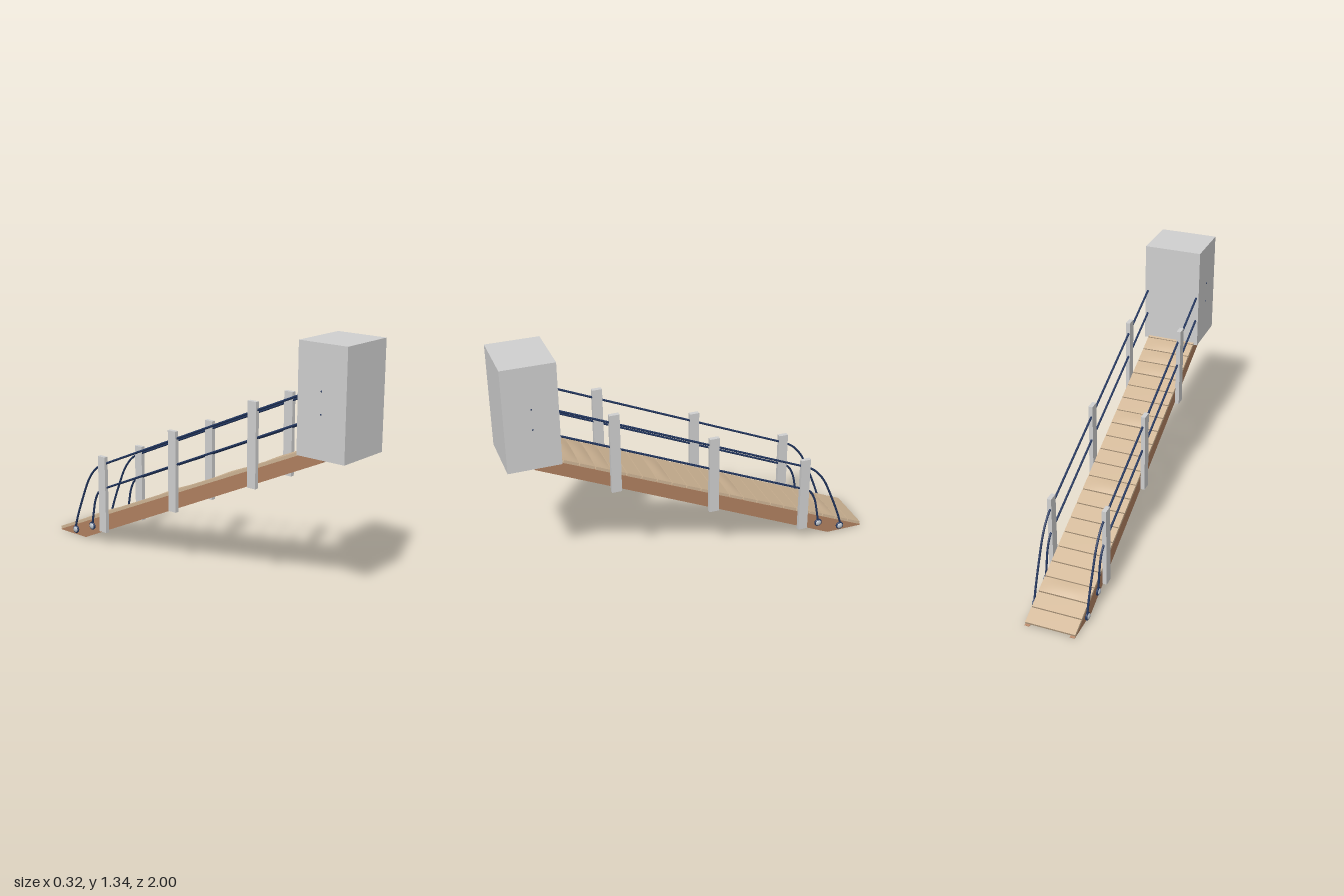
import * as THREE from 'three';

const SLOPE = 0.4486, ANGLE = Math.atan(SLOPE);
const rampY = z => 0.002 + SLOPE * (z + 1); // top edge of the side beams

function material(name, color, extra = {}) {
  const m = new THREE.MeshStandardMaterial({ color, ...extra });
  m.name = name;
  return m;
}

export function createModel() {
  const group = new THREE.Group();
  group.name = 'boardingRamp';
  const grey = material('light grey', 0xcfcfcf);
  const brown = material('beam brown', 0xb08060);
  const tan = material('plank tan', 0xcfb595);
  const navy = material('rope navy', 0x22365f);
  const silver = material('knob silver', 0xb9c0c8);

  function add(name, geometry, mat, x = 0, y = 0, z = 0) {
    const mesh = new THREE.Mesh(geometry, mat);
    mesh.name = name;
    mesh.position.set(x, y, z);
    group.add(mesh);
    return mesh;
  }

  // landing block at the top
  add('landingBlock', new THREE.BoxGeometry(0.315, 0.555, 0.275), grey, 0, 1.0585, 0.8625);

  // side beams, drawn in the z-y plane and extruded across x
  const profile = new THREE.Shape([
    [-1, 0], [-0.79, 0], [0.86, 0.762], [0.86, rampY(0.86)], [-1, rampY(-1)],
  ].map(p => new THREE.Vector2(...p)));
  const beam = new THREE.ExtrudeGeometry(profile, { depth: 0.026, bevelEnabled: false });
  beam.rotateY(-Math.PI / 2).translate(0.013, 0, 0);

  // planks, a few of them slightly bowed
  const pitch = 0.0815, width = 0.269, thick = 0.016, length = pitch / Math.cos(ANGLE) - 0.006;
  const flat = new THREE.BoxGeometry(width, thick, length);
  const bowed = new THREE.BoxGeometry(width, thick, length, 12, 1, 4);
  const p = bowed.attributes.position;
  for (let i = 0; i < p.count; i++) {
    const u = p.getX(i) / (width / 2), v = p.getZ(i) / (length / 2);
    p.setY(i, p.getY(i) + 0.006 * (1 - u * u) * (1 - 0.7 * v * v));
  }
  bowed.computeVertexNormals();
  const warped = [2, 9, 14, 18, 19, 20];
  for (let i = 0; i < 22; i++) {
    const z = -0.993 + pitch * (i + 0.5);
    const plank = add('plank' + (i + 1), warped.includes(i) ? bowed : flat, tan, -0.002,
      rampY(z) + Math.cos(ANGLE) * thick / 2, z - Math.sin(ANGLE) * thick / 2);
    plank.rotation.x = -ANGLE;
  }

  // ropes as [z, y]: straight run followed by the drooping end
  const ropes = [
    { top: [[0.86, 1.11], [0.725, 1.07]], post: [-0.62, 0.472],
      droop: [[-0.675, 0.44], [-0.735, 0.37], [-0.795, 0.24], [-0.845, 0.11], [-0.866, 0.04]] },
    { top: [[0.86, 1.0], [0.725, 0.931]], post: [-0.62, 0.33],
      droop: [[-0.66, 0.305], [-0.69, 0.25], [-0.708, 0.17], [-0.722, 0.09]] },
  ];
  const knots = [[-0.86, 0.035], [-0.722, 0.087]];
  const post = new THREE.BoxGeometry(0.023, 0.443, 0.053);

  for (const s of [1, -1]) {
    const side = s > 0 ? 'left' : 'right';
    add(side + 'Beam', beam, brown, s * 0.121);

    // posts
    [[0.45, 0.779], [-0.085, 0.538], [-0.62, 0.298]].forEach(([z, y], i) =>
      add(side + 'Post' + (i + 1), post, grey, s * 0.1465, y, z));

    // ropes, with their ends showing on the side of the block
    const v = ([z, y]) => new THREE.Vector3(s * 0.143, y, z);
    ropes.forEach((r, i) => {
      const path = new THREE.CurvePath();
      path.add(new THREE.LineCurve3(v(r.top[0]), v(r.top[1])));
      path.add(new THREE.LineCurve3(v(r.top[1]), v(r.post)));
      path.add(new THREE.CatmullRomCurve3([r.post, ...r.droop].map(v)));
      add(side + 'Rope' + (i + 1), new THREE.TubeGeometry(path, 100, 0.006, 8), navy);
      add(side + 'RopeEnd' + (i + 1), new THREE.SphereGeometry(0.005, 8, 6), navy,
        s * 0.1555, r.top[0][1], r.top[0][0]);
    });

    // anchor knobs with a rope loop around each
    knots.forEach(([z, y], i) => {
      const knob = add(side + 'Knob' + (i + 1), new THREE.SphereGeometry(0.018, 16, 12), silver,
        s * 0.145, y, z);
      knob.scale.x = 0.65;
      const loop = add(side + 'Loop' + (i + 1), new THREE.TorusGeometry(0.017, 0.006, 8, 20), navy,
        s * 0.143, y, z);
      loop.rotation.y = Math.PI / 2;
    });
  }
  return group;
}
